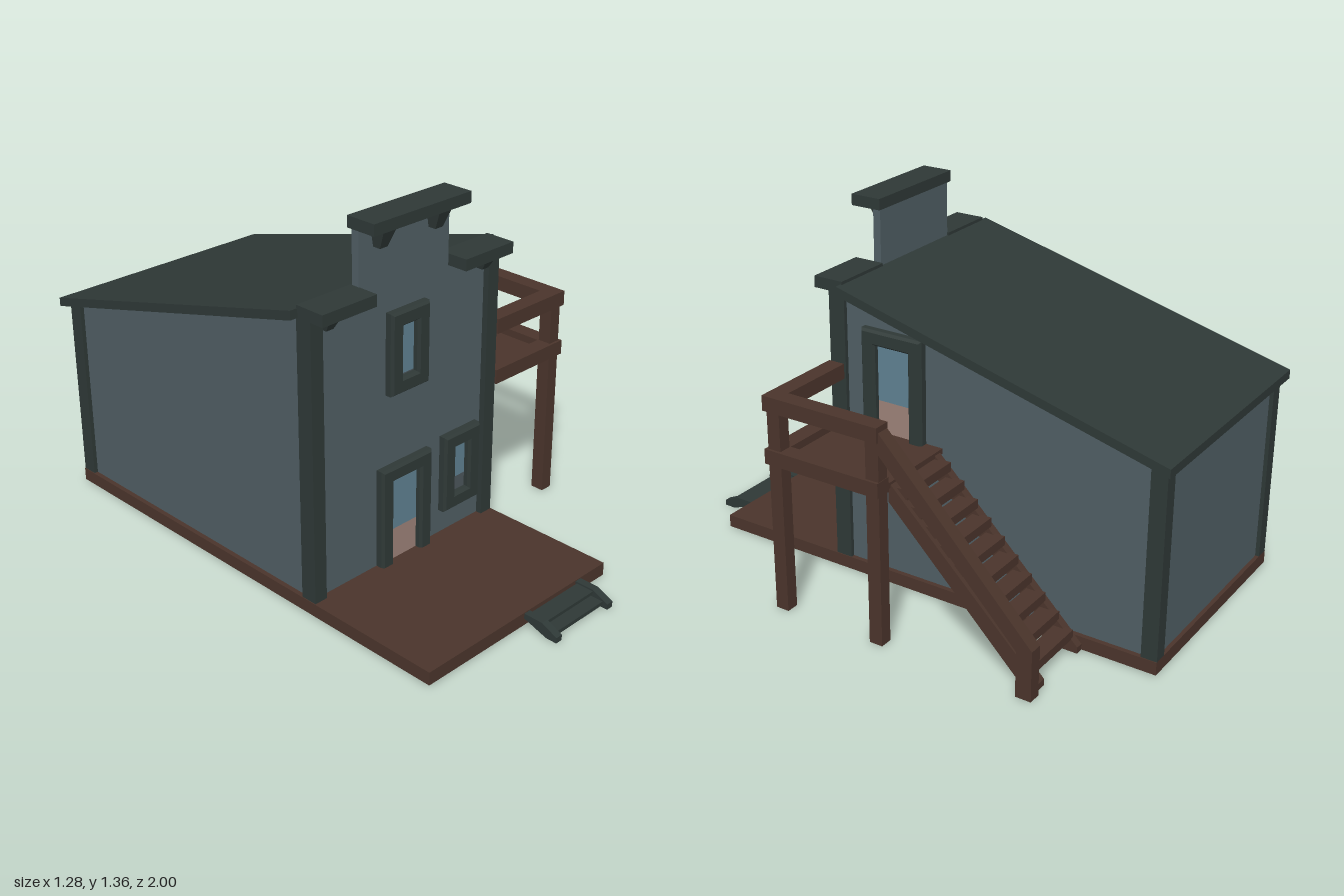
import * as THREE from 'three';

const mat = (name, color, double) => {
  const m = new THREE.MeshStandardMaterial({ color });
  m.name = name;
  if (double) m.side = THREE.DoubleSide;
  return m;
};

export function createModel() {
  const siding = mat('slate siding', 0x4f5d63);
  const trim = mat('dark trim', 0x2e3836);
  const wood = mat('brown wood', 0x4a342b);
  const glass = mat('blue glass', 0x5f8091);
  const panel = mat('pale door panel', 0x9c8278);
  const sill = mat('grey lower pane', 0x4c565b);

  const root = new THREE.Group();
  root.name = 'saloonHouse';

  const add = (name, geo, m, parent = root) => {
    const mesh = new THREE.Mesh(geo, m);
    mesh.name = name;
    parent.add(mesh);
    return mesh;
  };
  // box given by its limits
  const box = (name, m, x0, x1, y0, y1, z0, z1, parent) => add(name,
    new THREE.BoxGeometry(x1 - x0, y1 - y0, z1 - z0)
      .translate((x0 + x1) / 2, (y0 + y1) / 2, (z0 + z1) / 2), m, parent);
  const shapeOf = pts => new THREE.Shape(pts.map(p => new THREE.Vector2(p[0], p[1])));
  // side outline [z, y] extruded from x0 to x1
  const side = (name, m, pts, x0, x1, parent) => add(name,
    new THREE.ExtrudeGeometry(shapeOf(pts.map(([z, y]) => [-z, y])), { depth: x1 - x0, bevelEnabled: false })
      .rotateY(Math.PI / 2).translate(x0, 0, 0), m, parent);

  // base frame, open below the house, and the porch deck
  box('baseRight', wood, 0.245, 0.275, 0.008, 0.057, -0.98, 0.86);
  box('baseLeft', wood, -0.615, -0.585, 0.008, 0.057, -0.98, 0.86);
  box('baseBack', wood, -0.585, 0.245, 0.008, 0.057, -0.98, -0.95);
  box('baseFront', wood, -0.585, 0.245, 0.008, 0.057, 0.83, 0.86);
  box('porchDeck', wood, -0.585, 0.245, 0.042, 0.057, 0.3, 0.83);

  // walls
  const sideWall = [[0.3, 0.05], [0.3, 1.1], [-0.965, 0.765], [-0.965, 0.05]];
  side('wallRight', siding, sideWall, 0.245, 0.257);
  side('wallLeft', siding, sideWall, -0.597, -0.585);
  box('wallBack', siding, -0.585, 0.245, 0.05, 0.768, -0.965, -0.953);
  const facade = shapeOf([[-0.597, 0.05], [0.257, 0.05], [0.257, 1.1], [0.037, 1.1],
    [0.037, 1.335], [-0.382, 1.335], [-0.382, 1.1], [-0.597, 1.1]]);
  add('facade', new THREE.ExtrudeGeometry(facade, { depth: 0.03, bevelEnabled: false }).translate(0, 0, 0.282), siding);

  // corner posts
  for (const [x0, x1, s] of [[-0.612, -0.56, 'Left'], [0.22, 0.272, 'Right']]) {
    box('frontPost' + s, trim, x0, x1, 0.057, 1.095, 0.27, 0.335);
    side('backPost' + s, trim, [[-0.92, 0.057], [-0.92, 0.775], [-0.98, 0.76], [-0.98, 0.057]], x0, x1);
  }

  // sloping roof
  side('roof', trim, [[0.28, 1.12], [-1, 0.78], [-1, 0.747], [0.28, 1.087]], -0.645, 0.302);

  // cornices and tapered brackets
  box('corniceTop', trim, -0.395, 0.05, 1.325, 1.366, 0.275, 0.395);
  box('corniceLeft', trim, -0.615, -0.38, 1.088, 1.13, 0.275, 0.393);
  box('corniceRight', trim, 0.037, 0.275, 1.088, 1.13, 0.275, 0.393);
  const bracket = (x, top, w, h, d) => {
    const g = new THREE.BoxGeometry(w, h, d).translate(x, top - h / 2, 0.31 + d / 2);
    const p = g.attributes.position;
    for (let i = 0; i < p.count; i++) {
      if (p.getY(i) > top - h / 2) continue;
      p.setX(i, x + (p.getX(i) - x) * 0.55);
      if (p.getZ(i) > 0.32) p.setZ(i, 0.31 + d * 0.5);
    }
    g.computeVertexNormals();
    add('bracket', g, trim);
  };
  for (const x of [-0.3, -0.045]) bracket(x, 1.326, 0.062, 0.076, 0.065);
  for (const x of [-0.535, 0.195]) bracket(x, 1.089, 0.056, 0.05, 0.06);

  // framed opening, built facing +z with x centred and its foot at y = 0
  const opening = (name, w, h, isDoor, split, lower) => {
    const g = new THREE.Group();
    g.name = name;
    const t = 0.04, b = 0.008, a = w / 2 - b, i = w / 2 - t - b;
    let s;
    if (isDoor) {
      s = shapeOf([[-a, 0], [-i, 0], [-i, h - t - b], [i, h - t - b], [i, 0], [a, 0], [a, h - b], [-a, h - b]]);
    } else {
      s = shapeOf([[-a, b], [a, b], [a, h - b], [-a, h - b]]);
      s.holes.push(new THREE.Path([[-i, t + b], [-i, h - t - b], [i, h - t - b], [i, t + b]]
        .map(p => new THREE.Vector2(p[0], p[1]))));
    }
    add('frame', new THREE.ExtrudeGeometry(s, {
      depth: 0.024, bevelThickness: 0.01, bevelSize: b, bevelSegments: 1,
    }), trim, g);
    const x = w / 2 - t + 0.002, foot = isDoor ? 0 : t - 0.002;
    box('glass', glass, -x, x, split, h - t + 0.002, 0.001, 0.008, g);
    box('lowerPane', lower, -x, x, foot, split, 0.001, 0.008, g);
    root.add(g);
    return g;
  };
  opening('upperWindow', 0.182, 0.3, false, 0.06, sill).position.set(-0.168, 0.705, 0.311);
  opening('lowerWindow', 0.182, 0.3, false, 0.11, sill).position.set(0.103, 0.15, 0.311);
  opening('frontDoor', 0.245, 0.38, true, 0.12, panel).position.set(-0.178, 0.057, 0.311);
  const sideDoor = opening('sideDoor', 0.25, 0.39, true, 0.125, panel);
  sideDoor.position.set(0.256, 0.595, 0.067);
  sideDoor.rotation.y = Math.PI / 2;

  // landing with two levels of rail on outer posts
  const landing = new THREE.Group();
  landing.name = 'landing';
  root.add(landing);
  box('landingDeck', wood, 0.257, 0.585, 0.58, 0.6, -0.125, 0.29, landing);
  for (const [n, y0, y1] of [['beam', 0.573, 0.628], ['rail', 0.77, 0.826]]) {
    box(n + 'Front', wood, 0.272, 0.577, y0, y1, 0.278, 0.342, landing);
    box(n + 'Side', wood, 0.577, 0.64, y0, y1, -0.13, 0.342, landing);
  }
  for (const z of [-0.128, 0.28]) box('landingPost', wood, 0.582, 0.63, 0.006, 0.8, z, z + 0.052, landing);

  // outside stairs
  const stairs = new THREE.Group();
  stairs.name = 'stairs';
  root.add(stairs);
  const stringer = [[-0.115, 0.6], [-0.7, 0.03], [-0.7, 0.006], [-0.635, 0.006], [-0.115, 0.525]];
  side('stringerInner', wood, stringer, 0.272, 0.303, stairs);
  side('stringerOuter', wood, stringer, 0.522, 0.56, stairs);
  for (let i = 0; i < 10; i++) {
    const y = 0.56 - 0.0547 * i, z = -0.148 - 0.0547 * i;
    box('tread', wood, 0.29, 0.545, y - 0.017, y + 0.017, z - 0.034, z + 0.034, stairs);
  }
  side('handrail', wood, [[-0.125, 0.81], [-0.715, 0.195], [-0.715, 0.115], [-0.125, 0.73]], 0.58, 0.63, stairs);
  box('handrailPost', wood, 0.581, 0.629, 0.006, 0.19, -0.714, -0.655, stairs);

  // small porch steps
  const steps = new THREE.Group();
  steps.name = 'porchSteps';
  root.add(steps);
  const cheek = [[0.86, 0.054], [0.935, 0.054], [0.998, 0.025], [0.998, 0.004], [0.955, 0.004], [0.86, 0.035]];
  side('stepCheek', trim, cheek, -0.155, -0.127, steps);
  side('stepCheek', trim, cheek, 0.117, 0.145, steps);
  box('upperStep', trim, -0.127, 0.117, 0.036, 0.048, 0.866, 0.935, steps);
  box('lowerStep', trim, -0.127, 0.117, 0.014, 0.028, 0.925, 0.978, steps);

  return root;
}
